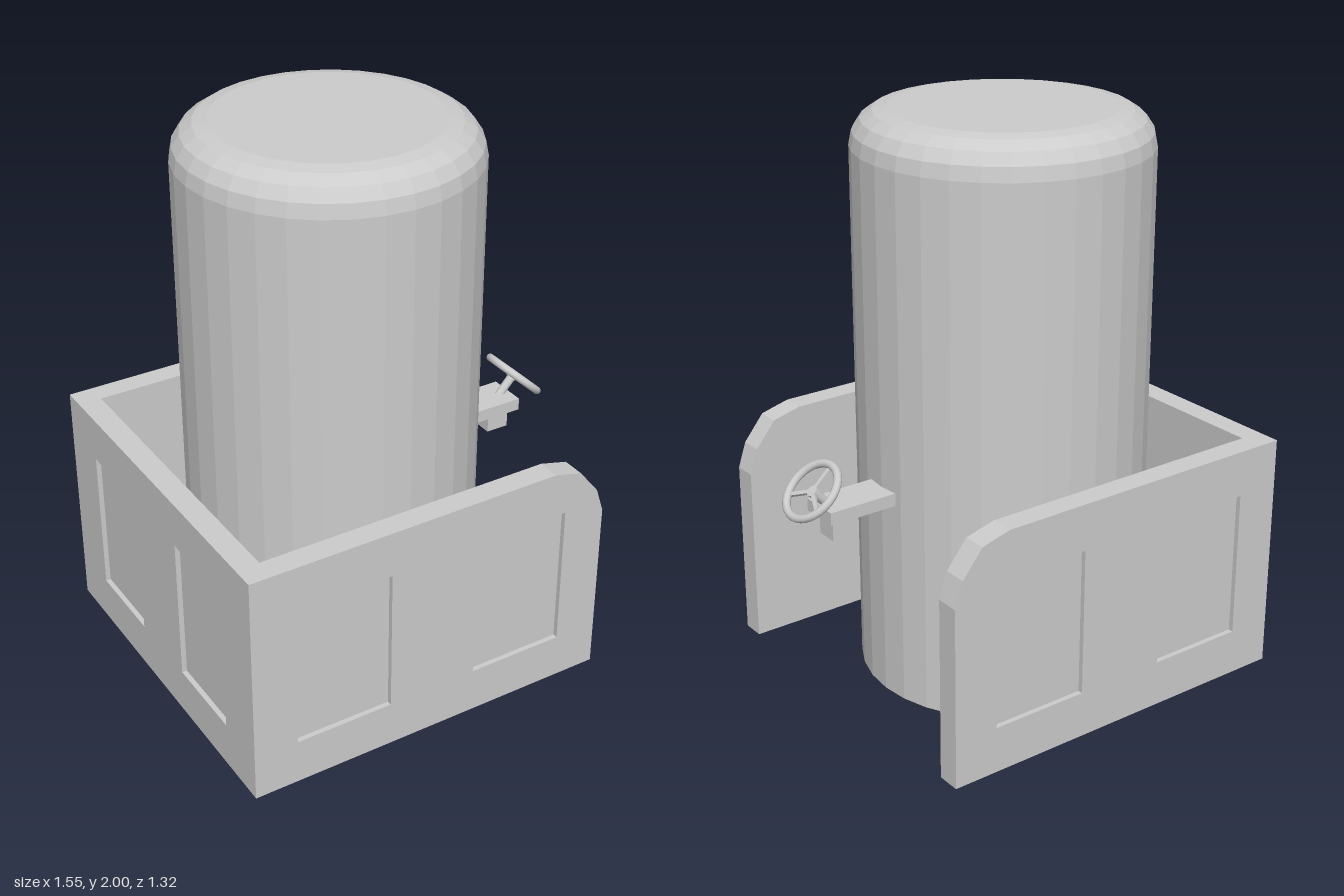
import * as THREE from 'three';

const mat = new THREE.MeshStandardMaterial({ color: 0xcccccc, flatShading: true, side: THREE.DoubleSide });
const smooth = new THREE.MeshStandardMaterial({ color: 0xcccccc });

const WALL = 0.083, RECESS = 0.018;
const BOTTOM = 0.01, TOP = 0.865;

function add(parent, name, geometry, material = mat) {
  const mesh = new THREE.Mesh(geometry, material);
  mesh.name = name;
  parent.add(mesh);
  return mesh;
}

// Upright wall facing local +z, with recessed rectangular panels given as [x0, x1]
function makeWall(name, points, panels) {
  const wall = new THREE.Group();
  wall.name = name;
  const outline = () => new THREE.Shape(points.map(([x, y]) => new THREE.Vector2(x, y)));
  const face = outline();
  for (const [x0, x1] of panels) {
    face.holes.push(new THREE.Path([
      new THREE.Vector2(x0, 0.175), new THREE.Vector2(x0, 0.7),
      new THREE.Vector2(x1, 0.7), new THREE.Vector2(x1, 0.175),
    ]));
  }
  const opts = depth => ({ depth, bevelEnabled: false });
  add(wall, name + 'Core', new THREE.ExtrudeGeometry(outline(), opts(WALL - RECESS)));
  add(wall, name + 'Frame', new THREE.ExtrudeGeometry(face, opts(RECESS))).position.z = WALL - RECESS;
  return wall;
}

export function createModel() {
  const model = new THREE.Group();
  model.name = 'tankWithWheel';

  // Tall tank with a rounded top edge
  const R = 0.505, B = 0.125, profile = [new THREE.Vector2(0, 0), new THREE.Vector2(R, 0)];
  for (let i = 0; i <= 4; i++) {
    const a = (i / 4) * Math.PI / 2;
    profile.push(new THREE.Vector2(R - B + B * Math.cos(a), 2 - B + B * Math.sin(a)));
  }
  profile.push(new THREE.Vector2(0, 2));
  add(model, 'tank', new THREE.LatheGeometry(profile, 32)).position.x = -0.095;

  // Side walls with a rounded upper corner, mirrored front and back
  const side = [[-0.775, BOTTOM], [0.585, BOTTOM], [0.585, 0.655], [0.555, 0.745],
    [0.48, 0.838], [0.375, TOP], [-0.775, TOP]];
  const sidePanels = [[-0.615, -0.26], [0.07, 0.425]];
  for (const s of [1, -1]) {
    const wall = makeWall(s > 0 ? 'frontWall' : 'backWall',
      side.map(([x, y]) => [x * s, y]), sidePanels.map(([a, b]) => [a * s, b * s]));
    wall.position.z = s * 0.575;
    if (s < 0) wall.rotation.y = Math.PI;
    model.add(wall);
  }

  // Wall joining the two sides
  const end = makeWall('endWall',
    [[-0.575, BOTTOM], [0.575, BOTTOM], [0.575, TOP], [-0.575, TOP]],
    [[-0.465, -0.147], [0.147, 0.465]]);
  end.rotation.y = -Math.PI / 2;
  end.position.x = -0.775 + WALL;
  model.add(end);

  // Bracket carrying the wheel
  add(model, 'bracketPlate', new THREE.BoxGeometry(0.285, 0.045, 0.144)).position.set(0.513, 0.752, 0);
  add(model, 'bracketBlock', new THREE.BoxGeometry(0.085, 0.08, 0.08)).position.set(0.587, 0.693, 0);

  // Tilted wheel: local y is the axle, local -x is the upper spoke
  const wheel = new THREE.Group();
  wheel.name = 'wheel';
  wheel.position.set(0.68, 0.835, 0);
  wheel.rotation.z = -0.745;
  const rim = add(wheel, 'wheelRim', new THREE.TorusGeometry(0.104, 0.014, 10, 32), smooth);
  rim.rotation.x = Math.PI / 2;
  const column = add(wheel, 'wheelColumn', new THREE.CylinderGeometry(0.016, 0.016, 0.1, 12), smooth);
  column.position.y = -0.055;
  const hub = add(wheel, 'wheelHub', new THREE.CylinderGeometry(0.02, 0.02, 0.018, 12));
  hub.position.y = -0.008;
  for (let i = 0; i < 3; i++) {
    const spoke = new THREE.Group();
    spoke.name = 'wheelSpoke';
    spoke.rotation.y = Math.PI + i * Math.PI * 2 / 3;
    add(spoke, 'spokeBar', new THREE.BoxGeometry(0.1, 0.01, 0.014)).position.set(0.054, -0.004, 0);
    wheel.add(spoke);
  }
  model.add(wheel);

  return model;
}
